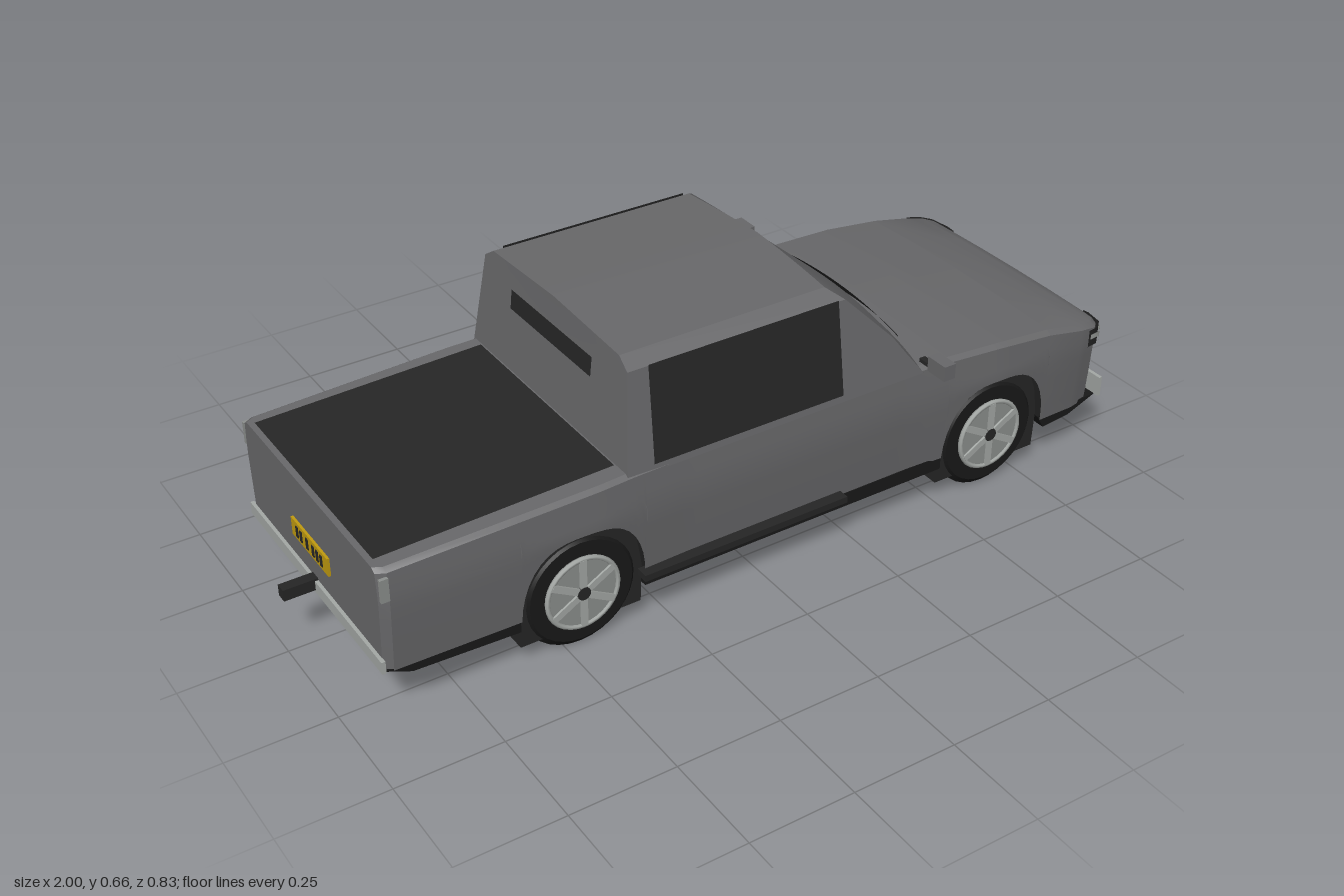
import * as THREE from 'three';
import { toCreasedNormals } from 'three/addons/utils/BufferGeometryUtils.js';

const mat = (name, color) => new THREE.MeshStandardMaterial({ name, color, side: THREE.DoubleSide });

// linear interpolation in a table of [key, value] pairs
function look(table, k) {
  if (k <= table[0][0]) return table[0][1];
  for (let i = 1; i < table.length; i++) {
    const [a, va] = table[i - 1], [b, vb] = table[i];
    if (k <= b) return va + (vb - va) * (k - a) / (b - a);
  }
  return table[table.length - 1][1];
}

// surface from a grid of points, fn(i, j) -> [x, y, z]; i cross j points outward
function grid(ni, nj, fn, crease = 0.5) {
  const pos = [], idx = [];
  for (let i = 0; i < ni; i++) for (let j = 0; j < nj; j++) pos.push(...fn(i, j));
  for (let i = 0; i < ni - 1; i++) for (let j = 0; j < nj - 1; j++) {
    const a = i * nj + j, b = a + nj;
    idx.push(a, b, a + 1, b, b + 1, a + 1);
  }
  const g = new THREE.BufferGeometry();
  g.setAttribute('position', new THREE.Float32BufferAttribute(pos, 3));
  g.setIndex(idx);
  return toCreasedNormals(g, crease);
}

const AXLES = [-0.46, 0.65], ARCH = 0.15, SILL = 0.13;
const archY = d => SILL + 0.17 * Math.sqrt(Math.max(0, 1 - Math.pow(Math.abs(d) / ARCH, 3)));

// body outline tables along x, and bulge over height
const WIDTH = [[-0.92, 0.325], [-0.9, 0.337], [-0.42, 0.347], [-0.2, 0.34], [0.4, 0.339], [0.65, 0.349],
  [0.9, 0.343], [0.95, 0.333], [0.975, 0.31], [0.988, 0.26]];
const BELT = [[-0.92, 0.385], [-0.34, 0.402], [0.45, 0.402], [0.65, 0.392], [0.8, 0.376], [0.92, 0.352],
  [0.97, 0.341], [0.988, 0.33]];
const BULGE = [[0.13, 0.965], [0.2, 0.98], [0.31, 1], [0.41, 0.975]];
const CROWN = [[0.35, 0], [0.5, 0.01], [0.9, 0.012], [0.988, 0.004]];

// cab tables over height
const CAB_W = [[0.39, 0.335], [0.45, 0.326], [0.625, 0.3], [0.648, 0.265]];
const CAB_BACK = [[0.39, -0.352], [0.648, -0.325]];
const CAB_FRONT = [[0.39, 0.485], [0.45, 0.428], [0.5, 0.382], [0.625, 0.235], [0.648, 0.2]];
const CAB_BOW = [[0.39, 0.06], [0.648, 0.01]];
const screenX = (y, s) => look(CAB_FRONT, y) - look(CAB_BOW, y) * s * s;

export function createModel() {
  const truck = new THREE.Group();
  truck.name = 'pickupTruck';
  const paint = mat('grey paint', 0x68686a), black = mat('black trim', 0x262626),
    under = mat('dark underbody', 0x181818), silver = mat('silver trim', 0xa4a8a5),
    alloy = mat('alloy', 0x8c8f8d), yellow = mat('yellow plate', 0xc09a10);

  const add = (name, geo, m, parent = truck) => {
    const mesh = new THREE.Mesh(geo, m);
    mesh.name = name;
    parent.add(mesh);
    return mesh;
  };
  // box from its min and max along each axis
  const box = (name, m, x0, x1, y0, y1, z0, z1) => {
    const b = add(name, new THREE.BoxGeometry(x1 - x0, y1 - y0, z1 - z0), m);
    b.position.set((x0 + x1) / 2, (y0 + y1) / 2, (z0 + z1) / 2);
    return b;
  };
  // side profile extruded across the width
  const across = (name, m, pts, half) => {
    const shape = new THREE.Shape(pts.map(p => new THREE.Vector2(...p)));
    const g = new THREE.ExtrudeGeometry(shape, { depth: half * 2, bevelEnabled: false });
    g.translate(0, 0, -half);
    return add(name, g, m);
  };

  // lower body: cross-sections along x with the bottom edge lifted over the wheels
  const xs = [...WIDTH, ...BELT].map(p => p[0]);
  for (let i = 0; i <= 20; i++) xs.push(-0.3 + i * 0.039);
  let st = xs.filter(x => AXLES.every(a => Math.abs(x - a) > ARCH));
  for (const a of AXLES) {
    st.push(a - ARCH - 0.0005, a + ARCH + 0.0005);
    for (let i = 0; i <= 20; i++) st.push(a - ARCH * Math.cos(Math.PI * i / 20));
  }
  st = [...new Set(st)].sort((a, b) => a - b);
  const SIDE = 7, HALF = SIDE + 3;
  const bodyPoint = (x, j, sign) => {
    const axle = AXLES.find(a => Math.abs(x - a) <= ARCH);
    const low = axle === undefined ? SILL : archY(x - axle);
    const w = look(WIDTH, x), top = look(BELT, x) - 0.008;
    if (j < SIDE) {
      const y = low + (top - low) * j / (SIDE - 1);
      return [x, y, sign * w * look(BULGE, y)];
    }
    const k = [0.945, 0.5, 0][j - SIDE];
    return [x, top + 0.008 + look(CROWN, x) * (1 - k * k), sign * w * k];
  };
  add('body', grid(st.length, HALF * 2 - 1, (i, j) =>
    j < HALF ? bodyPoint(st[i], j, 1) : bodyPoint(st[i], 2 * HALF - 2 - j, -1)), paint);
  add('nose', grid(2, HALF, (i, j) => bodyPoint(0.988, j, i ? -1 : 1)), paint);
  add('tailgate', grid(2, HALF, (i, j) => bodyPoint(-0.92, j, i ? 1 : -1)), paint);

  // cab: stacked rings, each a bowed windscreen edge and a straight back
  const levels = [0.39, 0.42, 0.45, 0.5, 0.56, 0.625, 0.648], N = 12;
  const cabPoint = (y, s, front) => [front ? screenX(y, s) : look(CAB_BACK, y),
    y + (y === 0.648 ? 0.012 * (1 - Math.abs(s)) : 0), s * look(CAB_W, y)];
  add('cab', grid(2 * N + 3, levels.length, (i, j) => {
    const k = i % (2 * N + 2);
    return k <= N ? cabPoint(levels[j], 1 - 2 * k / N, true)
      : cabPoint(levels[j], -1 + 2 * (k - N - 1) / N, false);
  }), paint);
  add('roof', grid(2, N + 1, (i, j) => cabPoint(0.648, 1 - 2 * j / N, i === 1)), paint);

  // glass
  add('windscreen', grid(21, 5, (i, j) => {
    const s = 1 - i / 10, z = 0.25 * s, a = Math.abs(z);
    const lo = look([[0.16, 0.398], [0.2, 0.412], [0.25, 0.437]], a), hi = 0.473 - 0.012 * s * s;
    const y = lo + (hi - lo) * j / 4;
    return [screenX(y, z / look(CAB_W, y)) + 0.008, y + 0.004, z];
  }), black);
  for (const s of [1, -1]) {
    add('sideWindow', grid(2, 2, (i, j) => {
      const y = j ? 0.63 : 0.408;
      return [i ? 0.2 : (j ? -0.28 : -0.287), y, s * (look(CAB_W, Math.min(y, 0.625)) + 0.004)];
    }), black);
  }
  add('rearWindow', grid(2, 2, (i, j) => {
    const y = j ? 0.598 : 0.552;
    return [look(CAB_BACK, y) - 0.004, y, i ? 0.17 : -0.17];
  }), black);

  // bed cover
  add('bedCover', grid(2, 2, (i, j) => {
    const x = i ? -0.357 : -0.908;
    return [x, look(BELT, x) + 0.004, j ? -0.29 : 0.29];
  }), black);

  // underbody sections between the wheels, and the wheel housings
  across('rearUnderbody', under, [[-0.918, 0.135], [-0.86, 0.11], [-0.61, 0.1], [-0.61, 0.135]], 0.325);
  across('middleUnderbody', under, [[-0.31, 0.1], [0.5, 0.1], [0.5, 0.135], [-0.31, 0.135]], 0.33);
  across('frontUnderbody', under, [[0.8, 0.135], [0.82, 0.1], [0.9, 0.108], [0.98, 0.14]], 0.326);
  for (const a of AXLES) {
    const pts = [[a - 0.148, 0.05], [a + 0.148, 0.05]];
    for (let i = 0; i <= 16; i++) {
      const d = 0.152 * Math.cos(Math.PI * i / 16);
      pts.push([a + d, archY(d) + 0.012]);
    }
    across('wheelHousing', black, pts, 0.314);
  }

  // wheels
  for (const a of AXLES) for (const s of [1, -1]) {
    const wheel = new THREE.Group();
    wheel.name = 'wheel';
    wheel.position.set(a, 0.14, s * 0.282);
    if (s < 0) wheel.rotation.y = Math.PI;
    truck.add(wheel);
    const prof = [[0, -0.037], [0.125, -0.037], [0.14, -0.025], [0.14, 0.025], [0.125, 0.037], [0, 0.037]];
    const tyre = new THREE.LatheGeometry(prof.map(p => new THREE.Vector2(...p)), 32);
    add('tyre', toCreasedNormals(tyre.rotateX(Math.PI / 2), 0.5), under, wheel);
    const disc = new THREE.CylinderGeometry(0.09, 0.09, 0.012, 32).rotateX(Math.PI / 2);
    add('rim', disc.translate(0, 0, 0.037), alloy, wheel);
    add('rimEdge', new THREE.TorusGeometry(0.086, 0.006, 6, 32).translate(0, 0, 0.042), silver, wheel);
    for (let k = 0; k < 6; k++) {
      const spoke = add('spoke', new THREE.BoxGeometry(0.07, 0.016, 0.008).translate(0.05, 0, 0.044), silver, wheel);
      spoke.rotation.z = k * Math.PI / 3 + Math.PI / 6;
    }
    const hub = new THREE.CylinderGeometry(0.016, 0.018, 0.01, 12).rotateX(Math.PI / 2);
    add('hub', hub.translate(0, 0, 0.044), black, wheel);
  }

  // grille: dark backing, light bars and frame
  box('grilleBacking', black, 0.984, 0.991, 0.203, 0.312, -0.212, 0.212);
  for (const y of [0.204, 0.311]) box('grilleFrame', silver, 0.986, 0.996, y - 0.003, y + 0.003, -0.215, 0.215);
  for (const z of [-0.212, 0.212]) box('grilleFrame', silver, 0.986, 0.996, 0.203, 0.312, z - 0.003, z + 0.003);
  for (let k = 0; k < 4; k++) {
    const y = 0.222 + k * 0.0255;
    box('grilleBar', alloy, 0.986, 0.994, y - 0.006, y + 0.006, -0.21, 0.21);
  }

  // bumpers, plates and tow bar
  box('frontBumper', silver, 0.988, 0.997, 0.132, 0.183, -0.33, 0.33);
  box('frontPlate', silver, 0.988, 0.998, 0.165, 0.2, -0.09, 0.09);
  for (const z of [0.077, 0.056, 0.034, 0.012, -0.022, -0.043, -0.064])
    box('plateSlot', black, 0.995, 1, 0.17, 0.194, z - 0.006, z + 0.006);
  box('rearBumper', silver, -0.928, -0.919, 0.135, 0.165, -0.33, 0.33);
  box('rearPlate', yellow, -0.926, -0.919, 0.225, 0.27, -0.09, 0.09);
  for (const z of [-0.06, -0.04, -0.01, 0.02, 0.04, 0.06])
    box('plateSlot', black, -0.928, -0.925, 0.234, 0.261, z - 0.005, z + 0.005);
  box('towBar', black, -1, -0.9, 0.142, 0.17, -0.013, 0.013);

  for (const s of [1, -1]) {
    // headlamps wrapped round the front corners
    const plan = [[0.915, 0.342], [0.95, 0.333], [0.975, 0.31], [0.988, 0.26], [0.99, 0.24]];
    const lamp = (name, m, n0, n1, lo, hi, out) => add(name, grid(n1 - n0, 2, (i, j) => {
      const [x, z] = plan[n0 + i], drop = 0.004 * (n0 + i);
      return [x + out, (j ? hi : lo) + 0.012 - drop, s * (z + out)];
    }), m);
    lamp('headlampSurround', black, 0, 5, 0.288, 0.333, 0.004);
    lamp('headlampLower', silver, 1, 5, 0.291, 0.303, 0.007);
    lamp('headlampUpper', silver, 0, 4, 0.309, 0.322, 0.007);
    // rear lamp, running board and mirror
    box('rearLamp', alloy, -0.919, -0.9, 0.315, 0.37, s * 0.335 - 0.004, s * 0.335 + 0.004);
    box('runningBoard', black, -0.325, 0.21, 0.131, 0.147, s * 0.34 - 0.016, s * 0.34 + 0.016);
    box('mirrorStalk', black, 0.42, 0.436, 0.415, 0.424, s * 0.355 - 0.032, s * 0.355 + 0.032);
    box('mirror', paint, 0.415, 0.446, 0.411, 0.448, s * 0.387 - 0.029, s * 0.387 + 0.029);
  }
  return truck;
}
